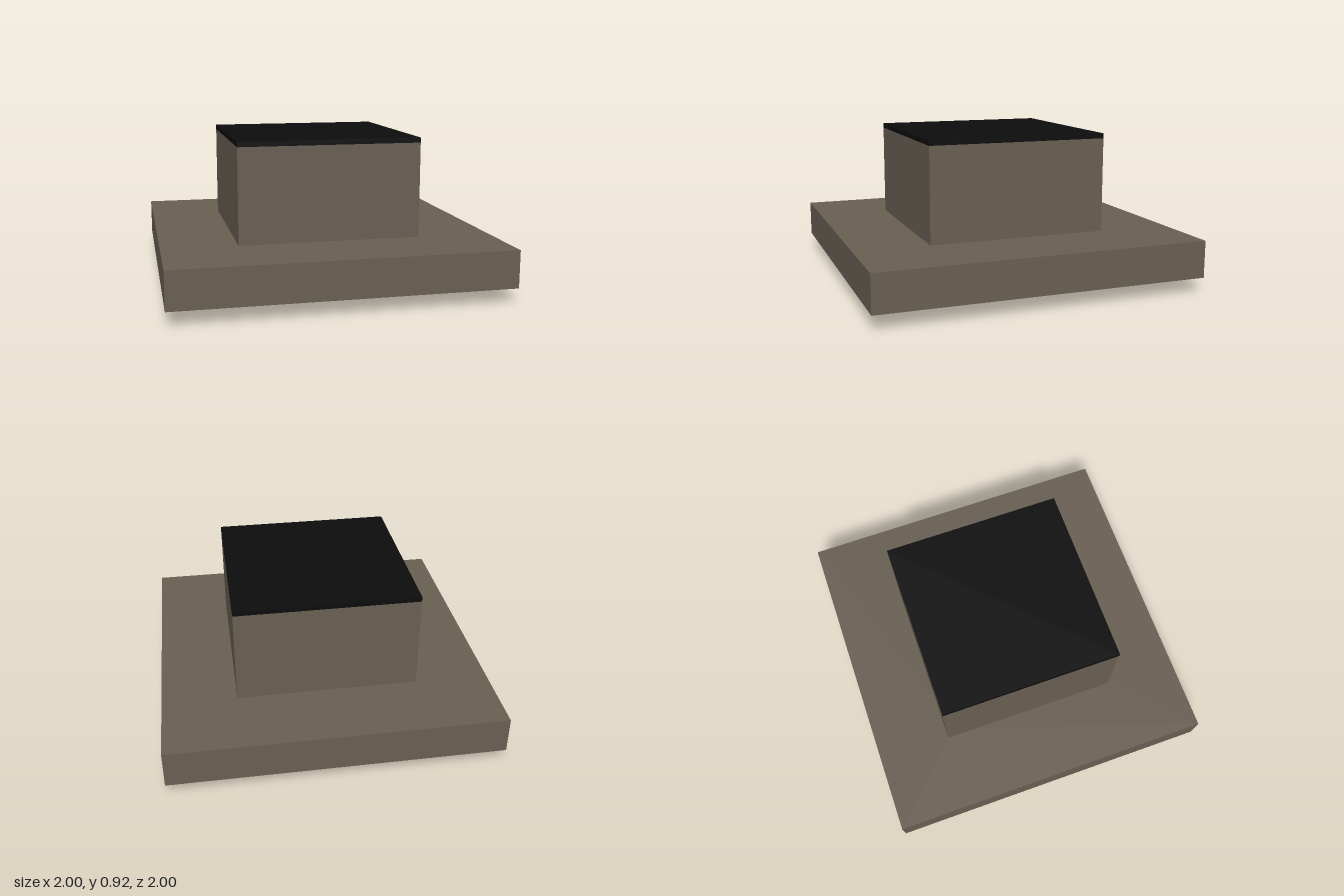
import * as THREE from 'three';

export function createModel() {
  const model = new THREE.Group();
  model.name = 'chimneyCap';

  const material = (name, color) => {
    const m = new THREE.MeshStandardMaterial({ color });
    m.name = name;
    return m;
  };
  const stone = material('stone', 0x695f53);
  const clay = material('clay', 0x5c3a2b);
  const soot = material('soot', 0x0d0d0d);

  // Square outline with the given half width
  const square = (Type, h) => new Type([
    new THREE.Vector2(-h, -h), new THREE.Vector2(h, -h),
    new THREE.Vector2(h, h), new THREE.Vector2(-h, h),
  ]);

  // Square ring standing between two heights, open through the middle
  const inner = 0.5;
  const addRing = (name, half, bottom, top, mat) => {
    const shape = square(THREE.Shape, half);
    shape.holes.push(square(THREE.Path, inner));
    const geometry = new THREE.ExtrudeGeometry(shape, { depth: top - bottom, bevelEnabled: false });
    geometry.rotateX(-Math.PI / 2).translate(0, bottom, 0);
    const mesh = new THREE.Mesh(geometry, mat);
    mesh.name = name;
    model.add(mesh);
  };

  addRing('bottomCollar', 0.6, 0, 0.09, clay);
  addRing('baseSlab', 1, 0.09, 0.315, stone);
  addRing('shaftWalls', 0.55, 0.315, 0.89, stone);

  // Dark lid closing the shaft
  const lid = new THREE.Mesh(new THREE.BoxGeometry(1.1, 0.03, 1.1), soot);
  lid.name = 'lid';
  lid.position.y = 0.905;
  model.add(lid);

  return model;
}
